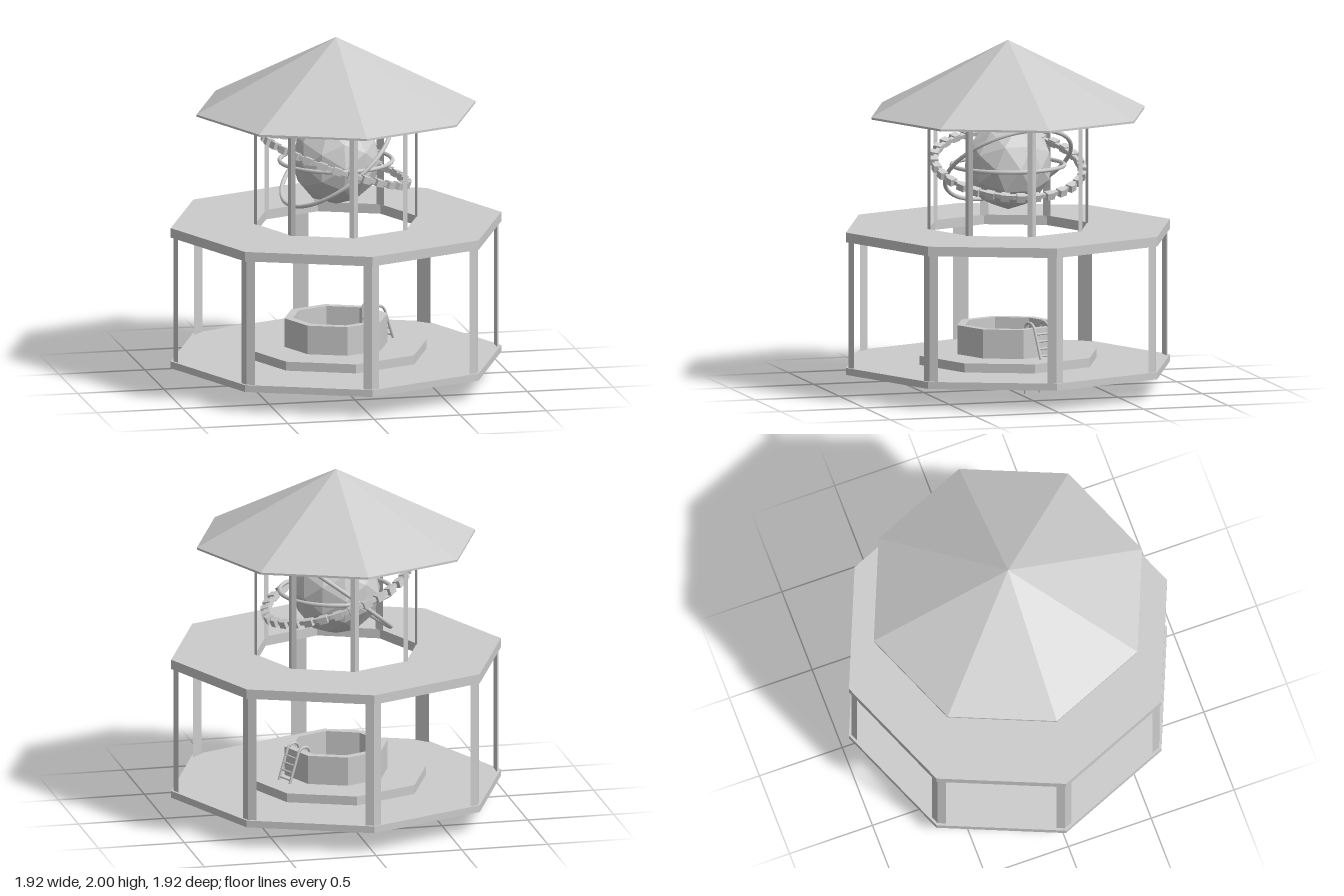
import * as THREE from 'three';

const SIDES = 8;
const flat = new THREE.MeshStandardMaterial({ color: 0xcccccc, flatShading: true });
const smooth = new THREE.MeshStandardMaterial({ color: 0xcccccc });

function addMesh(parent, name, geometry, material = flat) {
  const mesh = new THREE.Mesh(geometry, material);
  mesh.name = name;
  parent.add(mesh);
  return mesh;
}

// Octagonal solid turned from a [radius, y] profile, listed counterclockwise
function octagon(parent, name, profile) {
  const points = profile.map(([r, y]) => new THREE.Vector2(r, y));
  return addMesh(parent, name, new THREE.LatheGeometry(points, SIDES));
}

// Eight corner posts, each folded to follow the octagon's corner
function corners(parent, name, radius, halfWidth, y0, y1) {
  const back = radius - halfWidth * Math.tan(Math.PI / SIDES);
  const shape = new THREE.Shape([
    new THREE.Vector2(0, -radius),
    new THREE.Vector2(halfWidth, -back),
    new THREE.Vector2(-halfWidth, -back),
  ]);
  const geometry = new THREE.ExtrudeGeometry(shape, { depth: y1 - y0, bevelEnabled: false });
  geometry.rotateX(-Math.PI / 2).translate(0, y0, 0);
  const group = new THREE.Group();
  group.name = name + 's';
  for (let i = 0; i < SIDES; i++) {
    addMesh(group, name, geometry).rotation.y = (i * 2 * Math.PI) / SIDES;
  }
  parent.add(group);
}

// Toothed ring lying in the xz plane
function toothedRing() {
  const group = new THREE.Group();
  group.name = 'toothedRing';
  const band = [[0.4, -0.012], [0.425, -0.012], [0.425, 0.012], [0.4, 0.012], [0.4, -0.012]];
  addMesh(group, 'ringBand', new THREE.LatheGeometry(band.map(([r, y]) => new THREE.Vector2(r, y)), 60));
  const tooth = new THREE.BoxGeometry(0.05, 0.04, 0.045).translate(0, 0, 0.423);
  const count = 30;
  for (let i = 0; i < count; i++) {
    addMesh(group, 'ringTooth', tooth).rotation.y = (i * 2 * Math.PI) / count;
  }
  return group;
}

// Ladder hooked over the basin wall; local x runs outward, local z across
function ladder() {
  const group = new THREE.Group();
  group.name = 'ladder';
  const halfWidth = 0.053;
  const path = new THREE.CurvePath();
  const v = (x, y) => new THREE.Vector3(x, y, 0);
  path.add(new THREE.LineCurve3(v(0.22, 0), v(0.22, 0.37)));
  path.add(new THREE.CubicBezierCurve3(v(0.22, 0.37), v(0.22, 0.425), v(0.29, 0.425), v(0.305, 0.37)));
  path.add(new THREE.LineCurve3(v(0.305, 0.37), v(0.36, 0.21)));
  const rail = new THREE.TubeGeometry(path, 60, 0.008, 8);
  for (const side of [-1, 1]) addMesh(group, 'ladderRail', rail, smooth).position.z = side * halfWidth;

  const rung = new THREE.CylinderGeometry(0.006, 0.006, halfWidth * 2, 8).rotateX(Math.PI / 2);
  for (let y = 0.055; y < 0.36; y += 0.045) {
    addMesh(group, 'innerRung', rung, smooth).position.set(0.22, y, 0);
  }
  for (let i = 0; i < 4; i++) {
    const t = (i + 0.5) / 4;
    addMesh(group, 'outerRung', rung, smooth).position.set(0.36 - 0.055 * t, 0.21 + 0.16 * t, 0);
  }
  group.rotation.y = Math.PI / SIDES;
  return group;
}

export function createModel() {
  const model = new THREE.Group();
  model.name = 'pavilion';

  // Lower storey: deck, raised step with sloping underside, open basin
  octagon(model, 'lowerDeck', [[0.52, 0.12], [0.96, 0.12], [0.96, 0.16], [0.52, 0.16], [0.52, 0.12]]);
  octagon(model, 'step', [[0.27, 0.1], [0.32, 0.1], [0.525, 0.16], [0.525, 0.212], [0.29, 0.212]]);
  octagon(model, 'basin', [[0.3, 0.2], [0.3, 0.378], [0.25, 0.378], [0.25, 0.16], [0.27, 0.1]]);
  model.add(ladder());
  corners(model, 'column', 0.945, 0.045, 0.155, 0.885);

  // Upper deck, recessed underneath between its rim and the lip of the opening
  octagon(model, 'upperDeck', [
    [0.47, 0.88], [0.53, 0.88], [0.53, 0.905], [0.875, 0.905], [0.875, 0.88],
    [0.96, 0.88], [0.96, 0.935], [0.47, 0.935], [0.47, 0.88],
  ]);
  corners(model, 'roofPost', 0.476, 0.025, 0.93, 1.7);

  // Hollow roof with a flat eave
  octagon(model, 'roof', [[0, 1.95], [0.7, 1.576], [0.81, 1.576], [0.81, 1.588], [0, 2]]);

  // Faceted globe with its rings
  const globe = new THREE.Group();
  globe.name = 'globeAssembly';
  globe.position.y = 1.285;
  addMesh(globe, 'globe', new THREE.IcosahedronGeometry(0.255, 1));

  const level = new THREE.TorusGeometry(0.32, 0.012, 8, 48).rotateX(Math.PI / 2);
  addMesh(globe, 'levelRing', level, smooth);

  const gear = toothedRing();
  gear.rotation.z = -0.327;
  globe.add(gear);

  const orbit = addMesh(globe, 'tiltedRing', new THREE.TorusGeometry(0.375, 0.012, 8, 64), smooth);
  const normal = new THREE.Vector3(-0.605, 0.785, 0.13).normalize();
  orbit.quaternion.setFromUnitVectors(new THREE.Vector3(0, 0, 1), normal);
  model.add(globe);

  return model;
}
